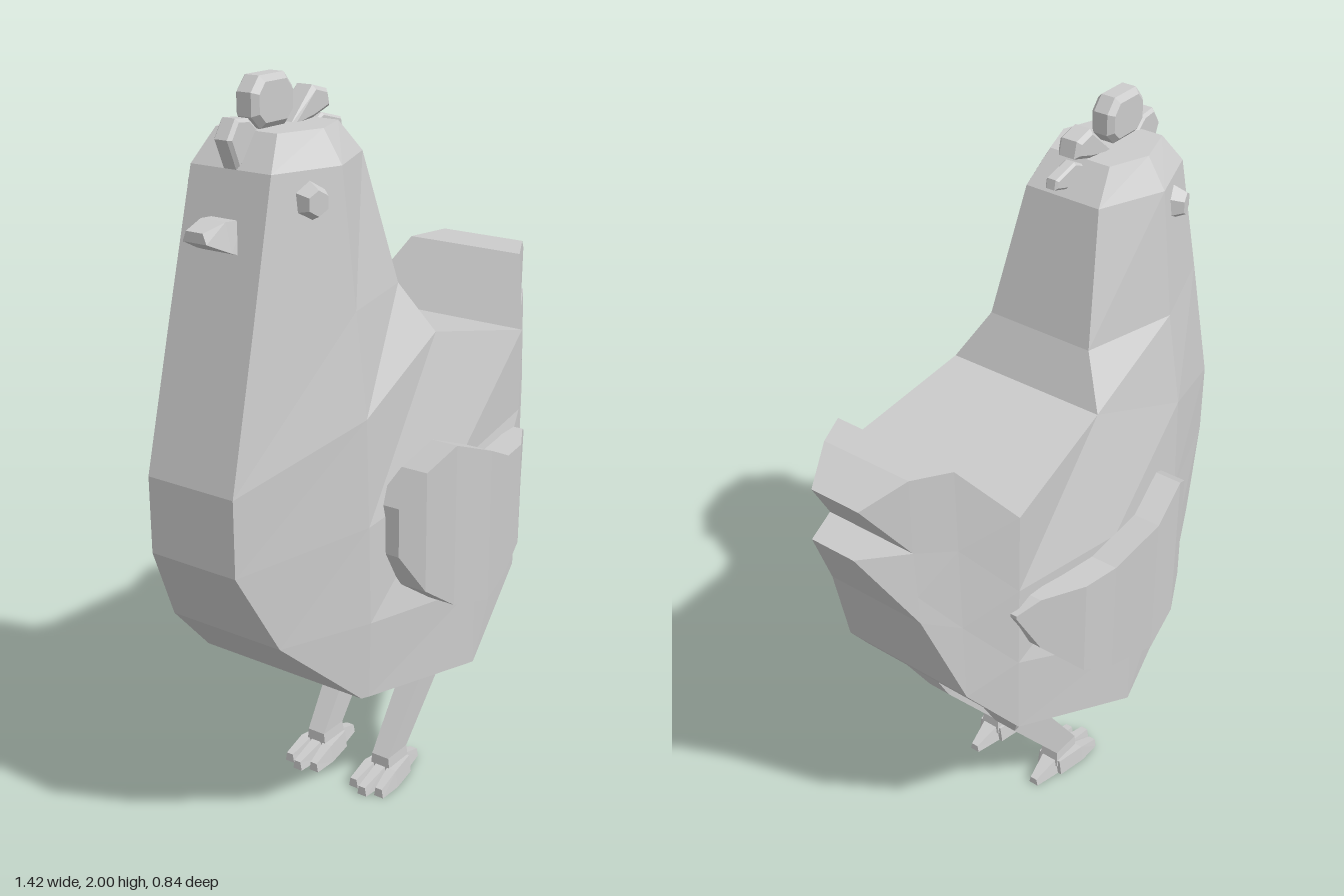
import * as THREE from 'three';

const material = new THREE.MeshStandardMaterial({ color: 0xcccccc, flatShading: true });

// Closed solid from polygons of [x, y, z] corners; turned outward by its signed volume
function solid(name, polygons) {
  const tris = [];
  for (const p of polygons)
    for (let i = 1; i < p.length - 1; i++) tris.push([p[0], p[i], p[i + 1]]);
  const v = (p) => new THREE.Vector3(...p);
  const volume = tris.reduce((s, [a, b, c]) => s + v(a).dot(v(b).cross(v(c))), 0);
  const flat = tris.flatMap(([a, b, c]) => (volume < 0 ? [a, c, b] : [a, b, c])).flat();
  const geometry = new THREE.BufferGeometry();
  geometry.setAttribute('position', new THREE.Float32BufferAttribute(flat, 3));
  geometry.computeVertexNormals();
  const mesh = new THREE.Mesh(geometry, material);
  mesh.name = name;
  return mesh;
}

// Solid skinned over a list of rings with equal corner counts
function loft(name, rings) {
  const faces = [rings[0].slice().reverse(), rings[rings.length - 1]];
  for (let i = 0; i < rings.length - 1; i++)
    rings[i].forEach((p, j) => {
      const k = (j + 1) % rings[i].length;
      faces.push([p, rings[i][k], rings[i + 1][k], rings[i + 1][j]]);
    });
  return solid(name, faces);
}

const flipZ = ([x, y, z]) => [x, y, -z];

// Body, neck, head and tail as one shell: left half rows, mirrored and bridged along the outline
function body() {
  const trunk = [
    [[-0.38, 0.45, 0.255], [-0.36, 0.45, 0.265], [-0.02, 0.43, 0.365], [0.35, 0.55, 0.265], [0.48, 0.72, 0.2], [0.58, 1.01, 0.145]],
    [[-0.6, 0.66, 0.17], [-0.36, 0.66, 0.27], [-0.02, 0.65, 0.362], [0.35, 0.78, 0.266], [0.48, 0.95, 0.193], [0.58, 1.09, 0.14]],
    [[-0.71, 0.88, 0.13], [-0.36, 0.92, 0.265], [-0.02, 0.98, 0.3], [0.35, 1.02, 0.268], [0.48, 1.19, 0.186], [0.58, 1.22, 0.132]],
    [[-0.71, 1.08, 0.13], [-0.36, 1.2, 0.258], [-0.02, 1.33, 0.23], [0.35, 1.25, 0.27], [0.48, 1.42, 0.18], [0.58, 1.43, 0.13]],
  ];
  const neck = [
    trunk[3].slice(0, 3),
    [[-0.615, 1.46, 0.125], [-0.35, 1.46, 0.22], [-0.08, 1.46, 0.155]],
    [[-0.53, 1.8, 0.118], [-0.35, 1.8, 0.182], [-0.17, 1.8, 0.11]],
    [[-0.47, 1.88, 0.09], [-0.35, 1.88, 0.13], [-0.24, 1.88, 0.09]],
  ];
  const lowTip = [0.71, 1.25, 0.065], highTip = [0.69, 1.38, 0.072];
  const half = [
    [trunk[0][5], lowTip, trunk[2][5], trunk[1][5]],
    [trunk[2][5], highTip, trunk[3][5]],
  ];
  for (const rows of [trunk, neck])
    for (let i = 0; i < rows.length - 1; i++)
      for (let j = 0; j < rows[i].length - 1; j++)
        half.push([rows[i][j], rows[i][j + 1], rows[i + 1][j + 1], rows[i + 1][j]]);
  const outline = [
    ...trunk[0], lowTip, trunk[2][5], highTip,
    ...trunk[3].slice(2).reverse(),
    neck[1][2], neck[2][2], ...neck[3].slice().reverse(),
    neck[2][0], neck[1][0], trunk[3][0], trunk[2][0], trunk[1][0],
  ];
  const bridge = outline.map((p, i) => {
    const q = outline[(i + 1) % outline.length];
    return [flipZ(p), flipZ(q), q, p];
  });
  const mirrored = half.map((f) => f.map(flipZ).reverse());
  return solid('body', [...half, ...mirrored, ...bridge]);
}

// Flat lobe with chamfered rims, centred on z = 0
function lobe(name, points, halfWidth, bevel) {
  const shape = new THREE.Shape(points.map(([x, y]) => new THREE.Vector2(x, y)));
  const geometry = new THREE.ExtrudeGeometry(shape, {
    depth: 2 * (halfWidth - bevel), bevelThickness: bevel, bevelSize: bevel, bevelOffset: -bevel, bevelSegments: 1,
  });
  geometry.translate(0, 0, bevel - halfWidth);
  const mesh = new THREE.Mesh(geometry, material);
  mesh.name = name;
  return mesh;
}

// Rectangular rings for lofts along y and along x
const ringY = (y, x0, x1, z0, z1) => [[x0, y, z0], [x1, y, z0], [x1, y, z1], [x0, y, z1]];
const ringX = (x, y0, y1, z, w) => [[x, y0, z - w], [x, y1, z - w * 0.7], [x, y1, z + w * 0.7], [x, y0, z + w]];

function wing(side) {
  // x, bottom y, top y, outer z
  const columns = [
    [-0.3, 0.83, 0.96, 0.312], [-0.25, 0.73, 1.05, 0.36], [-0.17, 0.67, 1.105, 0.395], [-0.04, 0.64, 1.055, 0.418],
    [0.1, 0.65, 0.99, 0.385], [0.2, 0.7, 0.985, 0.365], [0.31, 0.825, 0.983, 0.305], [0.37, 0.945, 0.955, 0.275],
  ];
  return loft('wing', columns.map(([x, y0, y1, z]) => {
    const inner = z - (x > 0.3 ? 0.04 : 0.075);
    return [[x, y0, z * side], [x, y1, z * side], [x, y1, inner * side], [x, y0, inner * side]];
  }));
}

function leg(side) {
  const group = new THREE.Group();
  group.name = 'leg';
  const place = (ring) => ring.map(([x, y, z]) => [x, y, z * side]);
  group.add(loft('thighAndShank', [
    [[0.06, 0.51, 0.08], [0.275, 0.525, 0.08], [0.275, 0.525, 0.205], [0.06, 0.51, 0.205]],
    [[0.05, 0.44, 0.08], [0.28, 0.465, 0.08], [0.28, 0.465, 0.205], [0.05, 0.44, 0.205]],
    ringY(0.365, 0.11, 0.225, 0.085, 0.155),
    ringY(0.08, -0.09, 0, 0.085, 0.14),
    ringY(0.03, -0.09, 0.005, 0.08, 0.145),
  ].map(place)));
  // Three front toes and a heel
  for (const spread of [-1, 0, 1])
    group.add(loft('toe', [
      ringX(0.0, 0, 0.05, 0.113 + spread * 0.022, 0.022),
      ringX(-0.09, 0, 0.05, 0.113 + spread * 0.038, 0.022),
      ringX(spread ? -0.16 : -0.18, 0, 0.026, 0.113 + spread * 0.043, 0.015),
    ].map(place)));
  group.add(loft('heel', [
    ringX(-0.03, 0, 0.052, 0.113, 0.035), ringX(0.005, 0, 0.05, 0.113, 0.032), ringX(0.08, 0, 0.022, 0.113, 0.015),
  ].map(place)));
  return group;
}

function eye(side) {
  const geometry = new THREE.CylinderGeometry(0.03, 0.052, 0.05, 6);
  geometry.rotateX(Math.PI / 2);
  const mesh = new THREE.Mesh(geometry, material);
  mesh.name = 'eye';
  mesh.position.set(-0.44, 1.73, 0.165 * side);
  mesh.rotation.y = side > 0 ? -0.33 : Math.PI + 0.33;
  return mesh;
}

export function createModel() {
  const model = new THREE.Group();
  model.name = 'hen';
  model.add(body());

  // Comb
  model.add(
    lobe('combCrown', [[-0.445, 1.88], [-0.355, 1.88], [-0.325, 1.91], [-0.325, 1.965], [-0.355, 2], [-0.445, 2], [-0.475, 1.965], [-0.475, 1.91]], 0.034, 0.014),
    lobe('combFront', [[-0.53, 1.8], [-0.43, 1.86], [-0.485, 1.91], [-0.53, 1.915], [-0.56, 1.87]], 0.026, 0.008),
    lobe('combBack', [[-0.34, 1.87], [-0.25, 1.88], [-0.185, 1.9], [-0.195, 1.942], [-0.25, 1.957]], 0.032, 0.01),
    lobe('combTail', [[-0.25, 1.86], [-0.17, 1.825], [-0.12, 1.84], [-0.125, 1.865], [-0.2, 1.885]], 0.018, 0.006),
  );

  // Beak
  model.add(loft('beak', [
    ringX(-0.53, 1.6, 1.69, 0, 0.055), ringX(-0.595, 1.625, 1.695, 0, 0.052), ringX(-0.66, 1.655, 1.68, 0, 0.035),
  ]));

  for (const side of [1, -1]) model.add(eye(side), wing(side), leg(side));
  return model;
}
